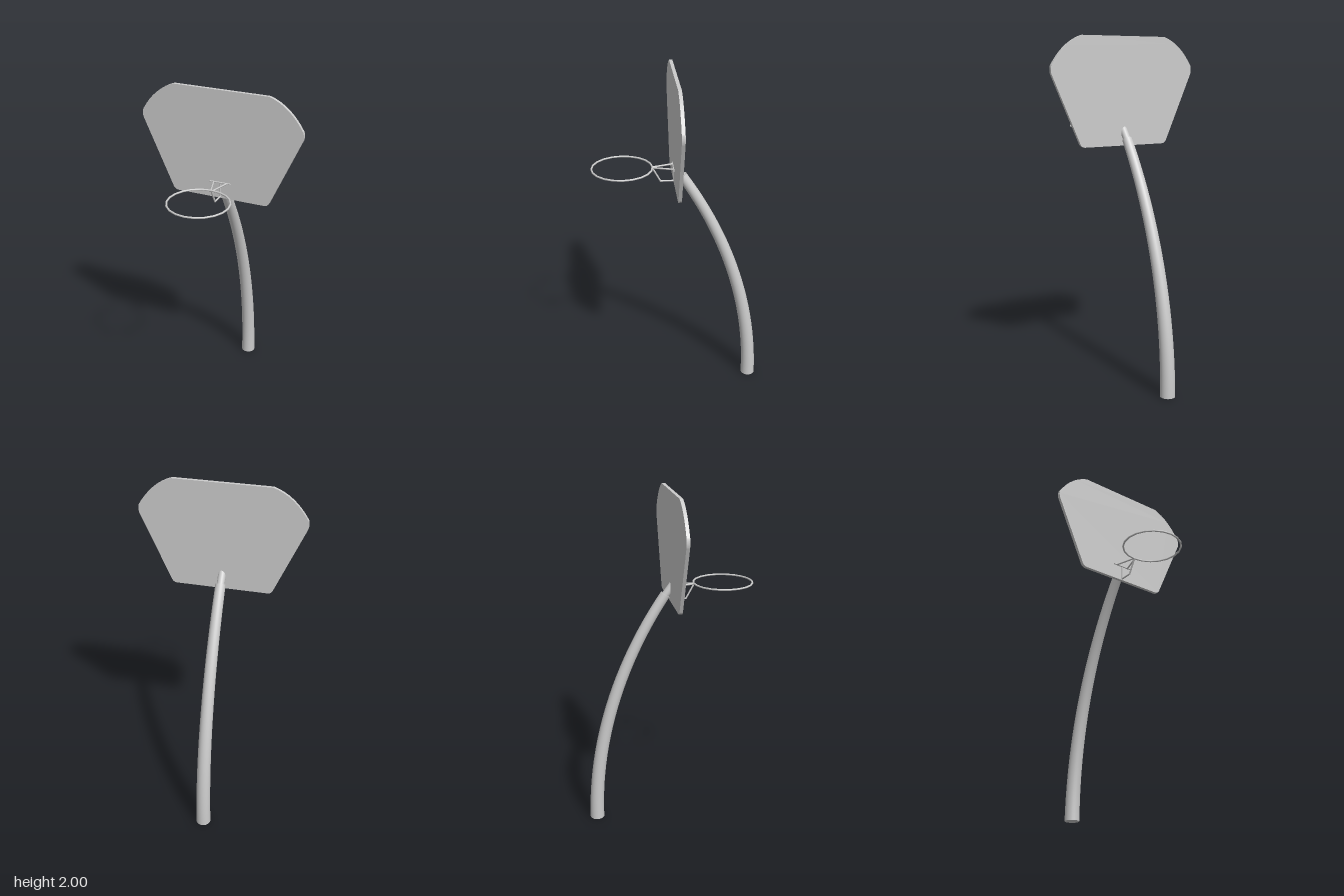
import * as THREE from 'three';

const grey = () => new THREE.MeshStandardMaterial({ color: 0xcccccc });

function add(parent, name, geometry) {
  const mesh = new THREE.Mesh(geometry, grey());
  mesh.name = name;
  parent.add(mesh);
  return mesh;
}

// Straight round bar between two points
function bar(parent, name, from, to, radius, sides = 8) {
  const a = new THREE.Vector3(...from), b = new THREE.Vector3(...to);
  const dir = b.clone().sub(a);
  const geometry = new THREE.CylinderGeometry(radius, radius, dir.length(), sides);
  geometry.applyQuaternion(new THREE.Quaternion().setFromUnitVectors(
    new THREE.Vector3(0, 1, 0), dir.normalize()));
  const mid = a.add(b).multiplyScalar(0.5);
  geometry.translate(mid.x, mid.y, mid.z);
  return add(parent, name, geometry);
}

// Tapered pole, a cylinder bent forward along a circular arc
function poleGeometry() {
  const bend = 0.593, R = 2.533, length = bend * R;
  const geometry = new THREE.CylinderGeometry(0.029, 0.043, length, 24, 24);
  const pos = geometry.attributes.position, nor = geometry.attributes.normal;
  const axis = new THREE.Vector3(1, 0, 0), p = new THREE.Vector3(), n = new THREE.Vector3();
  for (let i = 0; i < pos.count; i++) {
    p.fromBufferAttribute(pos, i);
    n.fromBufferAttribute(nor, i);
    const angle = (p.y / length + 0.5) * bend;
    p.y = 0;
    p.applyAxisAngle(axis, angle);
    n.applyAxisAngle(axis, angle);
    pos.setXYZ(i, p.x, p.y + R * Math.sin(angle), p.z - 0.45 + R * (1 - Math.cos(angle)));
    nor.setXYZ(i, n.x, n.y, n.z);
  }
  return geometry;
}

// Fan-shaped board with rounded shoulders and small lower corners
function boardGeometry() {
  const s = new THREE.Shape();
  s.moveTo(-0.26, 1.377);
  s.lineTo(0.26, 1.377);
  s.quadraticCurveTo(0.282, 1.377, 0.292, 1.398);
  s.lineTo(0.465, 1.785);
  s.quadraticCurveTo(0.473, 1.81, 0.465, 1.835);
  s.quadraticCurveTo(0.39, 1.962, 0.275, 2);
  s.lineTo(-0.275, 2);
  s.quadraticCurveTo(-0.39, 1.962, -0.465, 1.835);
  s.quadraticCurveTo(-0.473, 1.81, -0.465, 1.785);
  s.lineTo(-0.292, 1.398);
  s.quadraticCurveTo(-0.282, 1.377, -0.26, 1.377);
  const geometry = new THREE.ExtrudeGeometry(s, { depth: 0.019, bevelEnabled: false, curveSegments: 8 });
  return geometry.translate(0, 0, 0.01);
}

export function createModel() {
  const model = new THREE.Group();
  model.name = 'basketballHoop';

  add(model, 'pole', poleGeometry());
  add(model, 'backboard', boardGeometry());

  // Narrow stub from the pole to the board, cut off flat inside the board
  const stub = bar(model, 'poleStub', [0, 1.39, -0.035], [0, 1.49, 0.04], 0.022, 20);
  const pos = stub.geometry.attributes.position;
  for (let i = 0; i < pos.count; i++) {
    const over = pos.getZ(i) - 0.02;
    if (over > 0) pos.setXYZ(i, pos.getX(i), pos.getY(i) - over * 4 / 3, 0.02);
  }

  // Rim
  const rim = new THREE.TorusGeometry(0.17, 0.0055, 8, 20);
  rim.rotateX(Math.PI / 2);
  rim.translate(0, 1.473, 0.318);
  add(model, 'rim', rim);

  // Bracket: splayed upper arms, a bent lower strut and the mounting bars
  const bracket = new THREE.Group();
  bracket.name = 'rimBracket';
  model.add(bracket);
  for (const side of [-1, 1]) {
    bar(bracket, 'upperArm', [side * 0.04, 1.471, 0.03], [side * 0.004, 1.471, 0.15], 0.005);
  }
  bar(bracket, 'lowerStrut', [0, 1.386, 0.026], [0, 1.386, 0.104], 0.005);
  bar(bracket, 'diagonalStrut', [0, 1.384, 0.102], [0, 1.471, 0.15], 0.005);
  bar(bracket, 'uprightMount', [0, 1.384, 0.03], [0, 1.473, 0.03], 0.004);
  bar(bracket, 'crossMount', [-0.063, 1.471, 0.031], [0.063, 1.471, 0.031], 0.004);

  return model;
}
